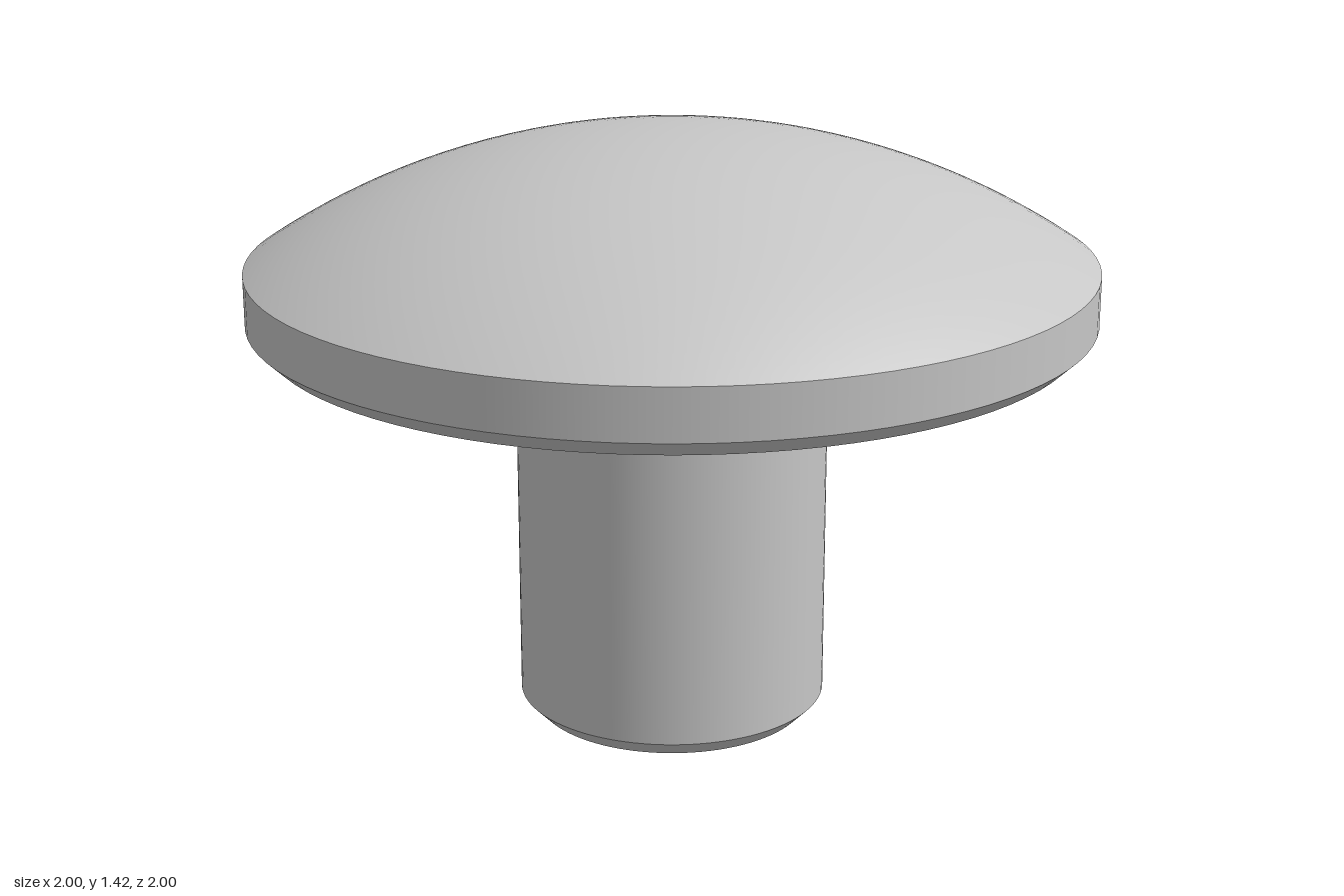
import * as THREE from 'three';

const SEG = 96;
const SHANK_R = 0.372, TIP_R = 0.333, CHAMFER = 0.04;
const HEAD_BASE = 0.962, RIM_LOW = 1.0, RIM_HIGH = 1.12, APEX = 1.425;
const ARM = 0.275, HALF = 0.087, DEPTH = 0.5; // cross recess

export function createModel() {
  const model = new THREE.Group();
  const steel = new THREE.MeshStandardMaterial({ color: 0xc6c6c6 });
  steel.name = 'lightGreySteel';

  const add = (name, geometry, parent = model) => {
    const mesh = new THREE.Mesh(geometry, steel);
    mesh.name = name;
    parent.add(mesh);
    return mesh;
  };
  // Separate lathes keep the edges between bands sharp
  const turned = (name, points) =>
    add(name, new THREE.LatheGeometry(points.map(([r, y]) => new THREE.Vector2(r, y)), SEG));

  // Shank
  turned('tipChamfer', [[TIP_R, 0], [SHANK_R, CHAMFER]]);
  turned('shank', [[SHANK_R, CHAMFER], [SHANK_R, HEAD_BASE]]);

  // Head
  turned('headUnderside', [[SHANK_R, HEAD_BASE], [0.96, HEAD_BASE]]);
  turned('headChamfer', [[0.96, HEAD_BASE], [1, RIM_LOW]]);
  turned('headRim', [[1, RIM_LOW], [1, RIM_HIGH]]);

  // Dome: spherical cap through the rim and the apex
  const rise = APEX - RIM_HIGH;
  const R = (1 + rise * rise) / (2 * rise);
  const sweep = Math.asin(1 / R);
  const dome = add('dome', new THREE.SphereGeometry(R, SEG, 24, 0, Math.PI * 2, 0, sweep));
  dome.position.y = APEX - R;

  // Cross outline, one arm at a time
  const outline = [];
  for (let i = 0; i < 4; i++) {
    for (const [x, y] of [[HALF, -HALF], [ARM, -HALF], [ARM, HALF]]) {
      outline.push(new THREE.Vector2(x, y).rotateAround(new THREE.Vector2(), i * Math.PI / 2));
    }
  }

  // Flat tip with the cross cut out
  const tip = new THREE.Shape().absarc(0, 0, TIP_R, 0, Math.PI * 2);
  tip.holes.push(new THREE.Path(outline));
  add('tipFace', new THREE.ShapeGeometry(tip, SEG / 2).rotateX(Math.PI / 2));

  // Recess floor and walls, facing into the cavity
  const recess = new THREE.Group();
  recess.name = 'crossRecess';
  model.add(recess);
  add('recessFloor', new THREE.ShapeGeometry(new THREE.Shape(outline)).rotateX(Math.PI / 2), recess)
    .position.y = DEPTH;
  for (let i = 0; i < 4; i++) {
    const arm = new THREE.Group();
    arm.name = 'recessArm';
    arm.rotation.y = i * Math.PI / 2;
    recess.add(arm);
    add('armEnd', new THREE.PlaneGeometry(2 * HALF, DEPTH).rotateY(-Math.PI / 2), arm)
      .position.set(ARM, DEPTH / 2, 0);
    for (const s of [-1, 1]) {
      const side = add('armSide', new THREE.PlaneGeometry(ARM - HALF, DEPTH), arm);
      side.rotation.y = s > 0 ? Math.PI : 0;
      side.position.set((ARM + HALF) / 2, DEPTH / 2, s * HALF);
    }
  }
  return model;
}
